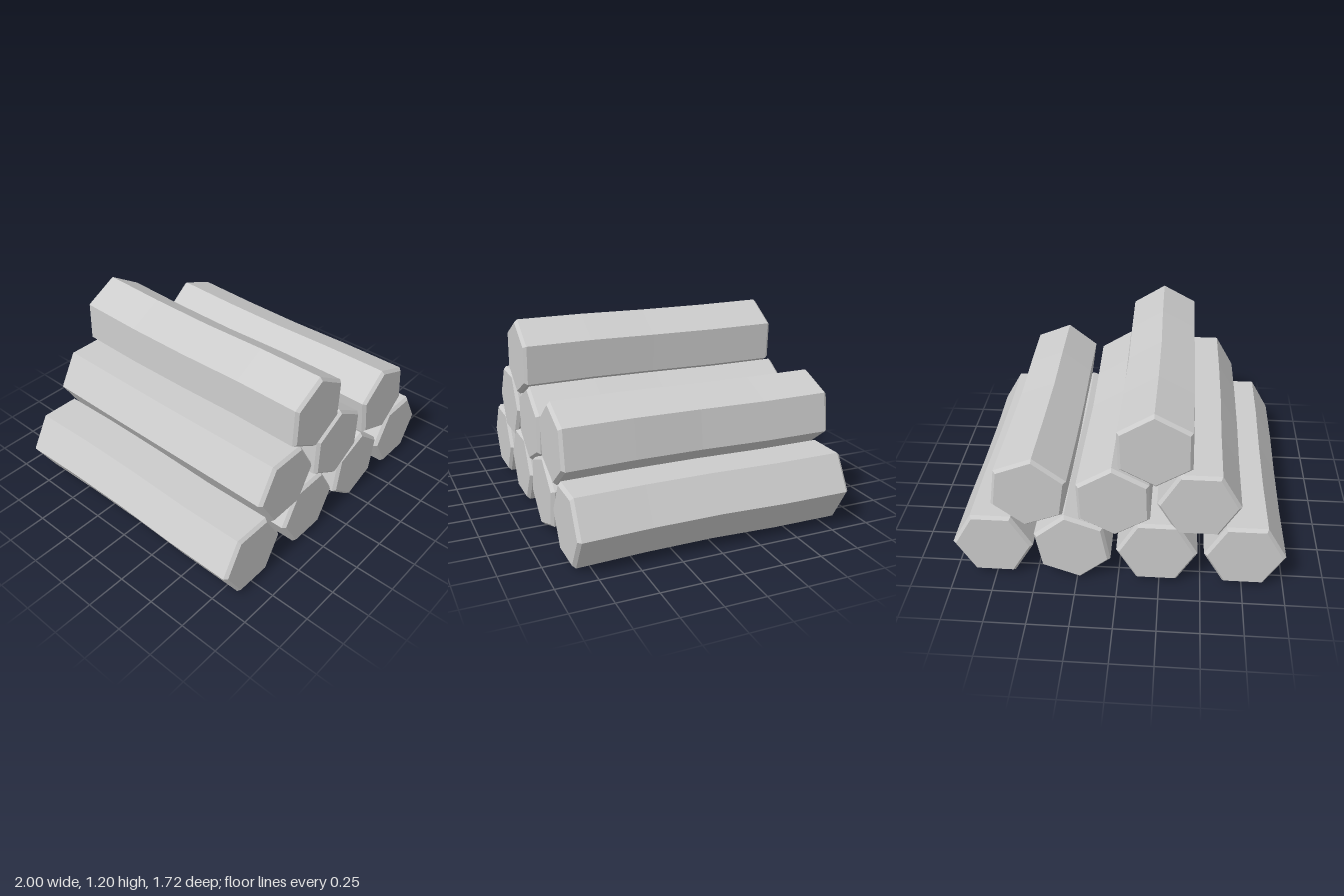
import * as THREE from 'three';

const RADIUS = 0.243;
// cross-sections along a log, front to back: [z, radius scale]
const SECTIONS = [[0.858, 0.92], [0.838, 1], [0.42, 0.99], [0, 0.985], [-0.42, 0.995], [-0.838, 1], [-0.858, 0.92]];

// each log: [x, y, rotation of its first corner in degrees]
const LOGS = [
  [-0.755, 0.245, 0], [-0.233, 0.242, 0], [0.272, 0.25, 20], [0.752, 0.245, 0], // bottom row
  [-0.475, 0.603, 0], [0.02, 0.598, 28], [0.512, 0.638, 38],                    // middle row
  [-0.215, 0.965, 28],                                                          // top
];

// small repeatable wobble in -1..1
const wobble = (a, b) => Math.sin(a * 12.9 + b * 4.7 + 1.3);

function logGeometry(index, degrees) {
  const rows = SECTIONS.length - 1;
  const geo = new THREE.CylinderGeometry(RADIUS, RADIUS, rows, 6, rows);
  geo.rotateX(Math.PI / 2);
  geo.rotateZ(THREE.MathUtils.degToRad(degrees - 30));
  const pos = geo.attributes.position;
  for (let i = 0; i < pos.count; i++) {
    const row = Math.round(rows / 2 - pos.getZ(i));
    const [z, scale] = SECTIONS[row];
    // bevel rows drift together with the ring beside them
    const ring = Math.min(Math.max(row, 1), rows - 1);
    pos.setXYZ(i,
      pos.getX(i) * scale + 0.005 * wobble(index, ring),
      pos.getY(i) * scale + 0.004 * wobble(index + 3, ring * 1.7),
      z + 0.004 * wobble(index, 9));
  }
  const flat = geo.toNonIndexed();
  flat.computeVertexNormals();
  return flat;
}

export function createModel() {
  const group = new THREE.Group();
  group.name = 'logPile';
  const material = new THREE.MeshStandardMaterial({ color: 0xcccccc, flatShading: true });
  LOGS.forEach(([x, y, degrees], i) => {
    const log = new THREE.Mesh(logGeometry(i, degrees), material);
    log.name = `log${i + 1}`;
    log.position.set(x, y, 0);
    group.add(log);
  });
  // rest the pile on the ground
  group.position.y = -new THREE.Box3().setFromObject(group).min.y;
  return group;
}
